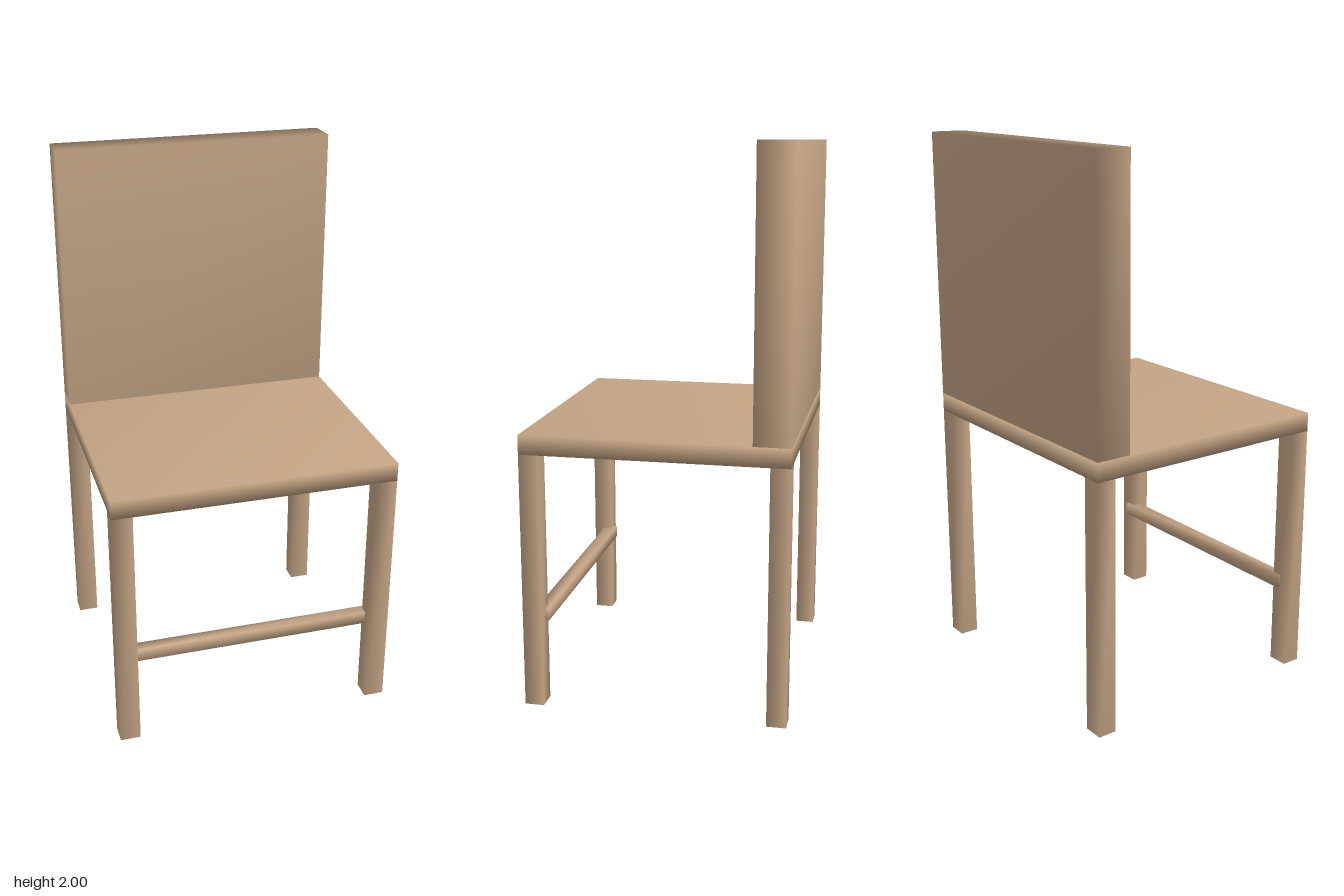
import * as THREE from 'three';
import { mergeVertices } from 'three/addons/utils/BufferGeometryUtils.js';

// Box given by its min and max corners, with normals shared around the corners
function softBox(min, max) {
  const size = max.map((v, i) => v - min[i]);
  const box = new THREE.BoxGeometry(...size);
  box.translate(...max.map((v, i) => (v + min[i]) / 2));
  box.deleteAttribute('normal');
  box.deleteAttribute('uv');
  const geometry = mergeVertices(box);
  geometry.computeVertexNormals();
  return geometry;
}

export function createModel() {
  const chair = new THREE.Group();
  chair.name = 'chair';

  const wood = new THREE.MeshStandardMaterial({ color: 0xc4a484 });
  wood.name = 'light wood';

  const add = (name, min, max) => {
    const mesh = new THREE.Mesh(softBox(min, max), wood);
    mesh.name = name;
    chair.add(mesh);
  };

  const halfWidth = 0.52, halfDepth = 0.475;
  const seatBottom = 0.935, seatTop = 1.005;
  const legWidth = 0.075, legDepth = 0.07;

  // Seat and backrest panels
  add('seat', [-halfWidth, seatBottom, -halfDepth], [halfWidth, seatTop, halfDepth]);
  add('backrest', [-halfWidth, seatTop, -halfDepth], [halfWidth, 2, -0.345]);

  // Four legs flush with the seat corners
  for (const [sideName, sx] of [['Left', 1], ['Right', -1]]) {
    for (const [endName, sz] of [['front', 1], ['back', -1]]) {
      const x = sx * (halfWidth - legWidth / 2);
      const z = sz * (halfDepth - legDepth / 2);
      add(`${endName}${sideName}Leg`,
        [x - legWidth / 2, 0, z - legDepth / 2],
        [x + legWidth / 2, seatBottom, z + legDepth / 2]);
    }
  }

  // Rung let into the rear of the front legs
  add('frontRung', [-0.48, 0.313, 0.39], [0.48, 0.36, 0.436]);

  return chair;
}
